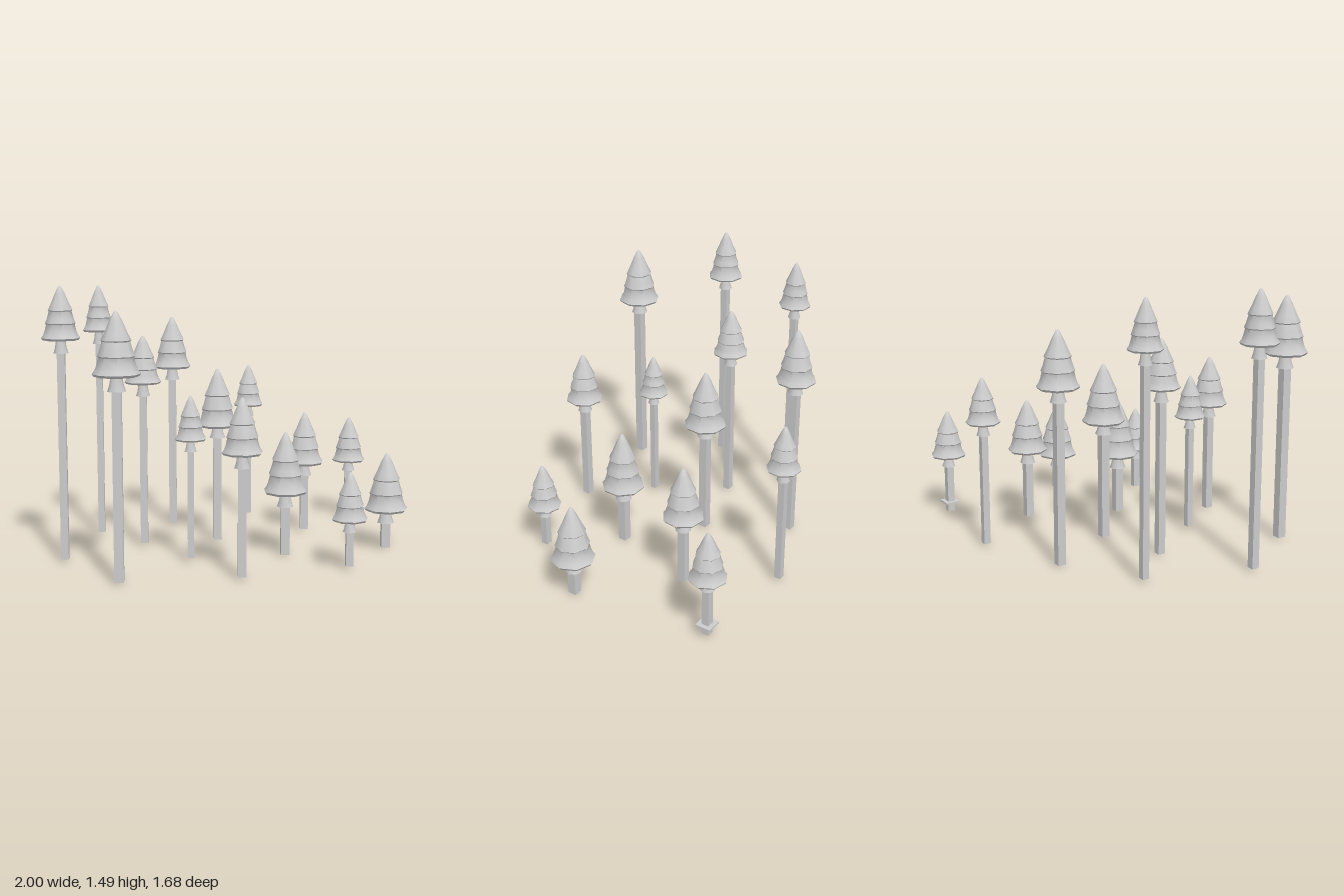
import * as THREE from 'three';
import { toCreasedNormals } from 'three/addons/utils/BufferGeometryUtils.js';

const grey = new THREE.MeshStandardMaterial({ color: 0xcccccc });
grey.name = 'plain grey';

// x, z, tip height, foliage bottom, collar bottom, radius, trunk bottom, turn
const TREES = [
  [-0.90, 0.295, 1.485, 1.20, 1.13, 0.103, 0.015, 0.2],
  [-0.742, -0.28, 1.465, 1.20, 1.13, 0.093, 0.02, 0.32],
  [-0.585, 0.72, 1.38, 1.055, 0.98, 0.122, 0.01, 0.1],
  [-0.482, -0.015, 1.197, 0.93, 0.86, 0.103, 0.02, 0.15],
  [-0.325, -0.54, 1.268, 0.96, 0.89, 0.114, 0.01, 0.25],
  [-0.22, 0.35, 0.91, 0.67, 0.61, 0.087, 0.03, 0.35],
  [-0.065, -0.12, 1.0, 0.67, 0.605, 0.12, 0.01, 0.3],
  [0.04, 0.665, 0.94, 0.65, 0.58, 0.108, 0.015, 0.2],
  [0.145, -0.75, 0.955, 0.70, 0.635, 0.094, 0.02, 0.3],
  [0.30, 0.19, 0.685, 0.345, 0.27, 0.122, 0, 0.39],
  [0.456, -0.33, 0.717, 0.41, 0.34, 0.114, 0.015, 0.25],
  [0.613, 0.51, 0.525, 0.265, 0.205, 0.097, 0.02, 0.15],
  [0.77, -0.695, 0.63, 0.355, 0.295, 0.103, 0.02, 0.1],
  [0.875, 0.09, 0.545, 0.22, 0.15, 0.122, 0.01, 0.05],
];

// Foliage outline: radius and height as fractions, bottom to tip
const TIERS = [
  [0, 0], [0.92, 0], [1, 0.04], [0.88, 0.1], [0.8, 0.18], [0.73, 0.29],
  [0.78, 0.31], [0.68, 0.4], [0.58, 0.53],
  [0.63, 0.55], [0.48, 0.66], [0.26, 0.85], [0.08, 0.98], [0, 1],
];

// Collar outline under the foliage, flaring downwards
const COLLAR = [[0, 0], [0.39, 0], [0.3, 0.4], [0.24, 1], [0, 1.1]];

function lathe(profile, radius, height) {
  const points = profile.map(([r, h]) => new THREE.Vector2(r * radius, h * height));
  return toCreasedNormals(new THREE.LatheGeometry(points, 8), 0.95);
}

function part(parent, name, geometry, y) {
  const mesh = new THREE.Mesh(geometry, grey);
  mesh.name = name;
  mesh.position.y = y;
  parent.add(mesh);
  return mesh;
}

function makeTree([x, z, tip, bottom, collar, radius, base, turn]) {
  const tree = new THREE.Group();
  tree.name = 'tree';
  tree.position.set(x, 0, z);
  part(tree, 'foliage', lathe(TIERS, radius, tip - bottom), bottom).rotation.y = turn;
  part(tree, 'collar', lathe(COLLAR, radius, bottom - collar), collar).rotation.y = turn;
  // Square post trunk
  const width = radius * 0.4;
  const height = collar + 0.02 - base;
  part(tree, 'trunk', new THREE.BoxGeometry(width, height, width), base + height / 2);
  return tree;
}

export function createModel() {
  const model = new THREE.Group();
  model.name = 'treeCluster';
  const trees = TREES.map(makeTree);
  model.add(...trees);
  // Thin square plate around the foot of one trunk
  part(trees[12], 'footPlate', new THREE.BoxGeometry(0.09, 0.009, 0.088), 0.075);
  return model;
}
